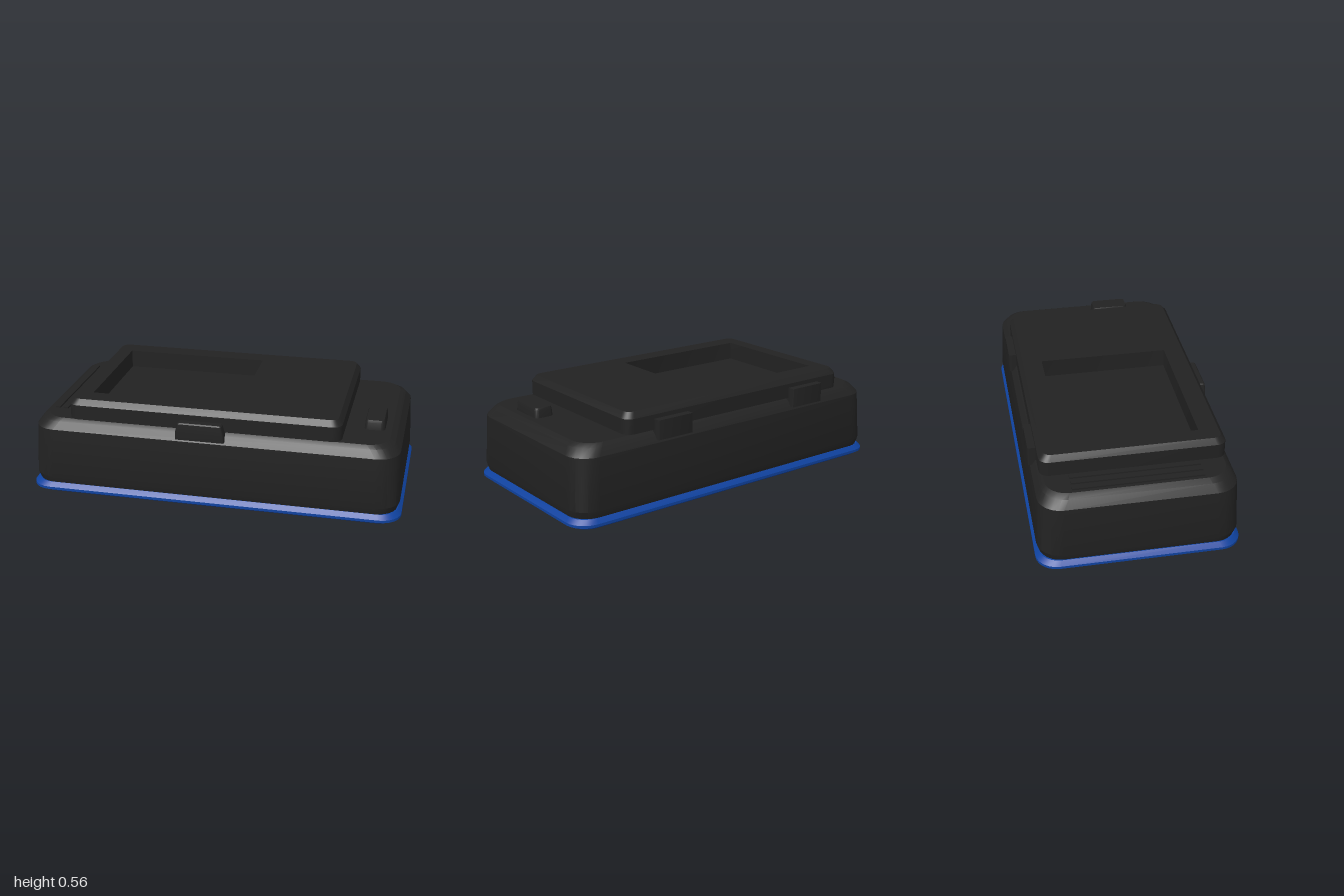
import * as THREE from 'three';
import { toCreasedNormals } from 'three/addons/utils/BufferGeometryUtils.js';

const CORNER_STEPS = 6;

// Rounded rectangle outline at height y: half sizes hx, hz, corner radius r, centre cx, cz
function ring([y, hx, hz, r, cx = 0, cz = 0]) {
  const pts = [];
  const signs = [[1, 1], [-1, 1], [-1, -1], [1, -1]];
  signs.forEach(([sx, sz], q) => {
    for (let k = 0; k <= CORNER_STEPS; k++) {
      const a = (q + k / CORNER_STEPS) * Math.PI / 2;
      pts.push([cx + sx * (hx - r) + r * Math.cos(a), y, cz + sz * (hz - r) + r * Math.sin(a)]);
    }
  });
  return pts;
}

// Closed solid through a stack of rounded rectangles
function loft(sections) {
  const rings = sections.map(ring);
  const n = rings[0].length;
  const pos = [];
  const tri = (...p) => p.forEach((v) => pos.push(...v));
  const centre = (s) => [s[4] || 0, s[0], s[5] || 0];
  const last = rings.length - 1;
  for (let j = 0; j < n; j++) {
    const k = (j + 1) % n;
    for (let i = 0; i < last; i++) {
      tri(rings[i][j], rings[i + 1][j], rings[i][k]);
      tri(rings[i][k], rings[i + 1][j], rings[i + 1][k]);
    }
    tri(centre(sections[0]), rings[0][j], rings[0][k]);
    tri(centre(sections[last]), rings[last][k], rings[last][j]);
  }
  const g = new THREE.BufferGeometry();
  g.setAttribute('position', new THREE.Float32BufferAttribute(pos, 3));
  return toCreasedNormals(g, 0.4);
}

export function createModel() {
  const model = new THREE.Group();
  model.name = 'deviceCase';

  const material = (name, color) => {
    const m = new THREE.MeshStandardMaterial({ color });
    m.name = name;
    return m;
  };
  const black = material('black plastic', 0x222222);
  const rubber = material('dark rubber', 0x1a1a1a);
  const blue = material('blue plastic', 0x0f429f);

  const add = (name, geometry, mat) => {
    const mesh = new THREE.Mesh(geometry, mat);
    mesh.name = name;
    model.add(mesh);
    return mesh;
  };

  // Blue base plate with bevelled rim
  add('basePlate', loft([
    [0.03, 0.965, 0.49, 0.09],
    [0.05, 1.0, 0.522, 0.11],
    [0.064, 1.0, 0.522, 0.11],
    [0.087, 0.98, 0.502, 0.1],
  ]), blue);

  // Main housing, slightly tapered with a chamfered shoulder
  add('housing', loft([
    [0.085, 0.975, 0.5, 0.11],
    [0.125, 0.988, 0.513, 0.12],
    [0.395, 0.975, 0.5, 0.12],
    [0.435, 0.945, 0.475, 0.12],
    [0.451, 0.915, 0.455, 0.11],
  ]), black);

  // Lid with a sunken rectangular window
  const lidX = -0.047;
  const winX = -0.275;
  add('lid', loft([
    [0.456, 0.725, 0.471, 0.05, lidX],
    [0.535, 0.725, 0.471, 0.05, lidX],
    [0.565, 0.703, 0.448, 0.04, lidX],
    [0.565, 0.395, 0.345, 0.001, winX],
    [0.466, 0.395, 0.345, 0.001, winX],
  ]), black);

  // Front clasp
  add('clasp', loft([
    [0.41, 0.13, 0.036, 0.008, -0.05, 0.477],
    [0.455, 0.127, 0.038, 0.008, -0.05, 0.477],
    [0.497, 0.116, 0.036, 0.008, -0.05, 0.477],
    [0.503, 0.11, 0.03, 0.006, -0.05, 0.477],
  ]), black);

  // Rear hinges
  for (const x of [-0.5, 0.405]) {
    add('hinge', loft([
      [0.41, 0.106, 0.038, 0.005, x, -0.472],
      [0.513, 0.106, 0.038, 0.005, x, -0.472],
    ]), black);
  }

  // Button beside the lid
  add('button', loft([
    [0.445, 0.054, 0.107, 0.022, 0.827, 0.157],
    [0.49, 0.051, 0.104, 0.022, 0.827, 0.157],
    [0.503, 0.046, 0.099, 0.018, 0.827, 0.157],
  ]), black);

  // Vent slats
  for (let i = 0; i < 3; i++) {
    const slat = add('ventSlat', new THREE.BoxGeometry(0.026, 0.02, 0.66), black);
    slat.position.set(-0.885 + i * 0.045, 0.45, 0);
  }

  // Round feet
  const footProfile = [[0, 0], [0.064, 0], [0.075, 0.012], [0.075, 0.022], [0.07, 0.034], [0, 0.034]]
    .map(([x, y]) => new THREE.Vector2(x, y));
  const footGeometry = toCreasedNormals(new THREE.LatheGeometry(footProfile, 28), 0.4);
  for (const x of [-0.775, 0.775]) {
    for (const z of [-0.34, 0.34]) {
      add('foot', footGeometry, rubber).position.set(x, 0, z);
    }
  }

  return model;
}
